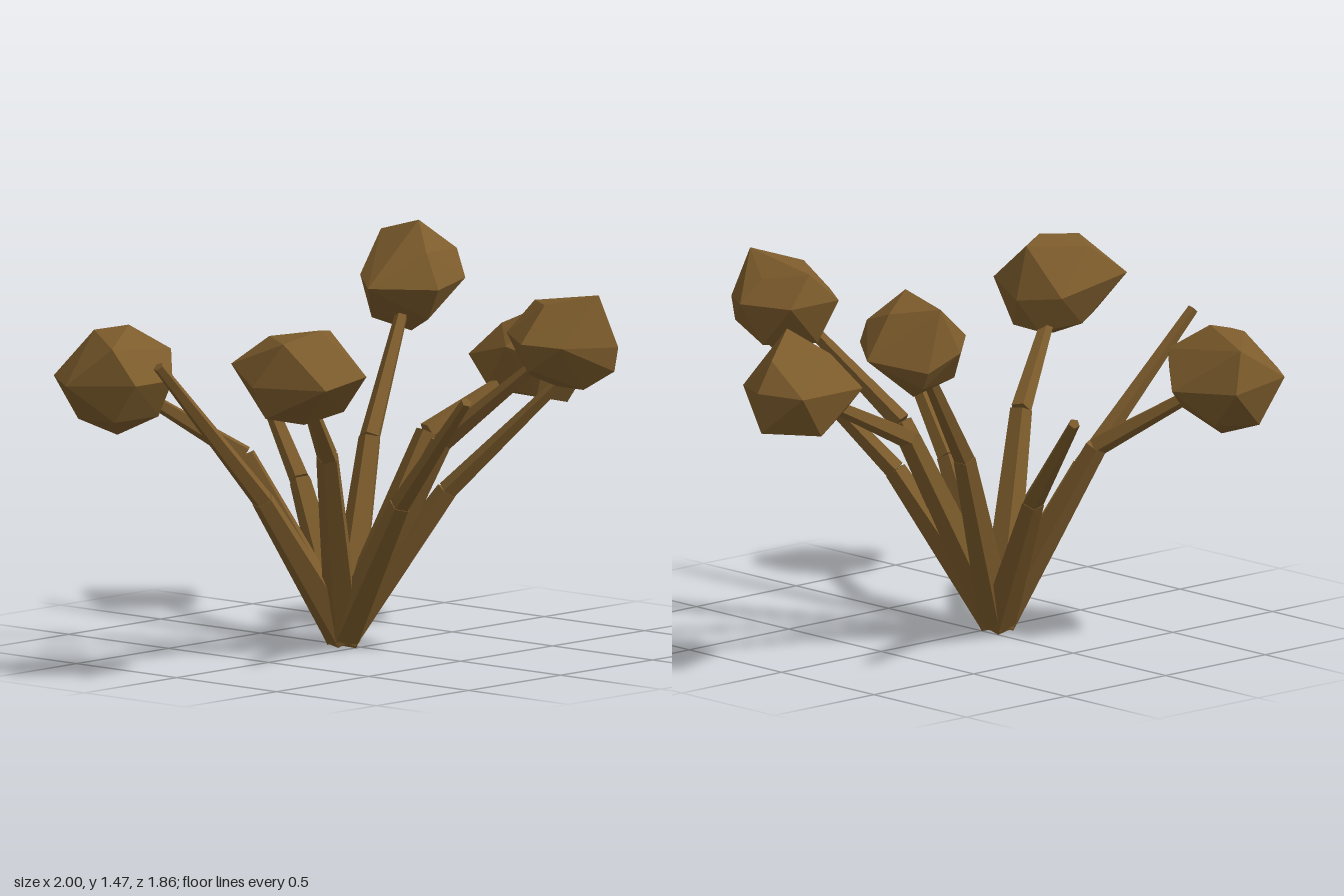
import * as THREE from 'three';
import { ConvexGeometry } from 'three/addons/geometries/ConvexGeometry.js';

const brown = new THREE.MeshStandardMaterial({ color: 0x7d5c2c, flatShading: true });
brown.name = 'dryBrown';

const V = (p) => new THREE.Vector3(...p);

// Five-sided tapered branch section running from a to b
function section(a, b, r0, r1) {
  const dir = b.clone().sub(a);
  const g = new THREE.CylinderGeometry(r1, r0, dir.length(), 5);
  const m = new THREE.Mesh(g, brown);
  m.position.copy(a).add(b).multiplyScalar(0.5);
  m.quaternion.setFromUnitVectors(new THREE.Vector3(0, 1, 0), dir.normalize());
  return m;
}

// Each stem: [bend, tip]
const root = V([-0.035, 0.04, -0.05]);
const stems = [
  [[-0.27, 0.71, -0.33], [-0.55, 0.98, -0.69]],
  [[0.27, 0.73, -0.2], [0.68, 1.24, -0.38]],
  [[0.32, 0.77, 0.04], [0.76, 1.0, 0.17]],
  [[0.16, 0.77, 0.26], [0.31, 1.15, 0.69]],
  [[-0.33, 0.76, 0.14], [-0.72, 1.1, 0.37]],
  [[-0.4, 0.58, -0.12], [-0.86, 1.12, -0.22]],
  [[0.1, 0.57, -0.39], [0.3, 0.97, -0.83]],
  [[-0.13, 0.58, 0.32], [-0.25, 1.02, 0.76]],
  [[0.18, 0.59, 0.27], [0.43, 1.05, 0.66]],
];

// Corner points of each faceted seed head
const heads = {
  backLeftHead: [
    [-0.7, 1.0, -0.89], [-0.42, 0.98, -0.93], [-0.32, 0.97, -0.69], [-0.5, 1.0, -0.48], [-0.7, 1.0, -0.48],
    [-0.82, 0.99, -0.72], [-0.52, 1.19, -0.68], [-0.72, 1.13, -0.58], [-0.48, 1.13, -0.89], [-0.41, 1.1, -0.57],
    [-0.6, 1.17, -0.78], [-0.55, 0.78, -0.71], [-0.73, 0.86, -0.56], [-0.5, 0.86, -0.55], [-0.6, 0.83, -0.86],
    [-0.43, 0.84, -0.8],
  ],
  backRightHead: [
    [0.52, 1.28, -0.48], [0.65, 1.25, -0.59], [0.82, 1.2, -0.6], [0.96, 1.24, -0.42], [0.82, 1.26, -0.23],
    [0.62, 1.24, -0.18], [0.42, 1.25, -0.35], [0.73, 1.47, -0.38], [0.85, 1.4, -0.42], [0.72, 1.42, -0.56],
    [0.63, 1.37, -0.25], [0.85, 1.36, -0.3], [0.7, 1.06, -0.39], [0.65, 1.12, -0.26], [0.8, 1.13, -0.55],
    [0.55, 1.12, -0.45],
  ],
  rightHead: [
    [0.62, 1.02, -0.03], [0.92, 1.02, -0.03], [1.0, 1.03, 0.13], [0.85, 1.0, 0.37], [0.57, 1.04, 0.39],
    [0.55, 1.08, 0.22], [0.75, 1.22, 0.24], [0.92, 1.14, 0.14], [0.68, 1.14, 0.08], [0.99, 0.88, 0.12],
    [0.82, 0.85, 0.28], [0.6, 0.9, 0.33], [0.8, 0.86, 0.0], [0.6, 0.92, 0.08],
  ],
  frontHead: [
    [0.24, 1.2, 0.51], [0.48, 1.2, 0.51], [0.55, 1.2, 0.71], [0.39, 1.17, 0.93], [0.17, 1.18, 0.85],
    [0.1, 1.19, 0.71], [0.36, 1.36, 0.86], [0.24, 1.32, 0.7], [0.36, 1.31, 0.54], [0.45, 1.28, 0.7],
    [0.31, 1.01, 0.83], [0.31, 1.01, 0.7], [0.5, 1.05, 0.64], [0.14, 1.09, 0.72], [0.3, 1.04, 0.56],
    [0.38, 1.08, 0.92],
  ],
  leftHead: [
    [-0.91, 1.18, 0.19], [-0.61, 1.12, 0.22], [-0.53, 1.1, 0.38], [-0.62, 1.14, 0.6], [-0.84, 1.11, 0.6],
    [-1.0, 1.12, 0.38], [-0.92, 1.28, 0.46], [-0.72, 1.31, 0.46], [-0.6, 1.29, 0.4], [-0.8, 1.28, 0.28],
    [-0.72, 0.95, 0.38], [-0.95, 1.0, 0.4], [-0.58, 0.99, 0.45], [-0.57, 0.99, 0.3], [-0.75, 1.0, 0.26],
  ],
};

export function createModel() {
  const model = new THREE.Group();
  model.name = 'driedPlant';

  // Stems fanning out from one root, each with a bend
  stems.forEach(([bend, tip], i) => {
    const stem = new THREE.Group();
    stem.name = `stem${i + 1}`;
    const lower = section(root, V(bend), 0.07, 0.043);
    const upper = section(V(bend), V(tip), 0.04, 0.021);
    lower.name = 'lowerStem';
    upper.name = 'upperStem';
    stem.add(lower, upper);
    model.add(stem);
  });

  // Faceted heads on five of the stems
  for (const [name, pts] of Object.entries(heads)) {
    const head = new THREE.Mesh(new ConvexGeometry(pts.map(V)), brown);
    head.name = name;
    model.add(head);
  }
  return model;
}
